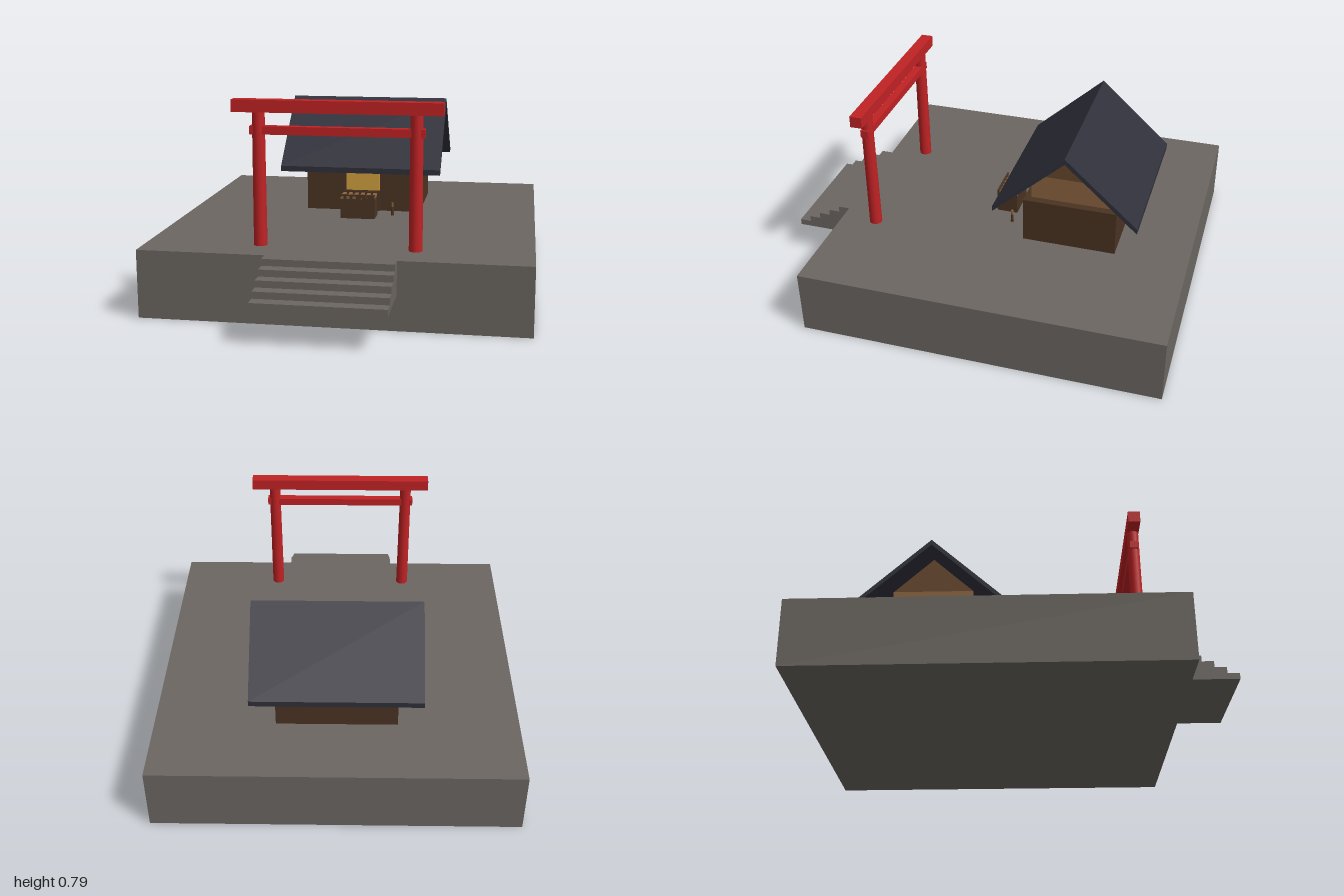
import * as THREE from 'three';

const paint = (name, color) => {
  const m = new THREE.MeshStandardMaterial({ color });
  m.name = name;
  return m;
};

export function createModel() {
  const stone = paint('stone', 0x6b6661);
  const red = paint('red lacquer', 0xc02224);
  const roofTile = paint('dark roof tile', 0x2f303a);
  const darkWood = paint('dark wood', 0x4a3322);
  const midWood = paint('medium wood', 0x65472a);
  const lightWood = paint('light wood', 0x8b6540);
  const gold = paint('warm window', 0xd0a040);

  const model = new THREE.Group();
  model.name = 'shrine';
  // The whole plot is turned on its vertical axis
  const plot = new THREE.Group();
  plot.name = 'plot';
  plot.rotation.y = -0.696;
  model.add(plot);

  const add = (parent, name, geometry, material, x = 0, y = 0, z = 0) => {
    const mesh = new THREE.Mesh(geometry, material);
    mesh.name = name;
    mesh.position.set(x, y, z);
    parent.add(mesh);
    return mesh;
  };
  // Box given by its bottom height
  const box = (parent, name, mat, w, h, d, x, y, z) =>
    add(parent, name, new THREE.BoxGeometry(w, h, d), mat, x, y + h / 2, z);
  // Profile (depth, height) extruded along x and centred
  const prism = (parent, name, mat, points, width) => {
    const shape = new THREE.Shape(points.map(([z, y]) => new THREE.Vector2(z, y)));
    const g = new THREE.ExtrudeGeometry(shape, { depth: width, bevelEnabled: false });
    g.translate(0, 0, -width / 2);
    g.rotateY(Math.PI / 2);
    return add(parent, name, g, mat);
  };

  const ground = 0.255;
  box(plot, 'platform', stone, 1.42, ground, 1.42, 0, 0, 0);

  // Front steps, level with the platform at the top
  const steps = new THREE.Group();
  steps.name = 'steps';
  plot.add(steps);
  for (let i = 0; i < 5; i++) {
    const depth = 0.0467 * (5 - i);
    box(steps, 'step', stone, 0.47, 0.025, depth, 0, 0.13 + 0.025 * i, 0.71 + depth / 2);
  }

  // Gate
  const gate = new THREE.Group();
  gate.name = 'gate';
  gate.position.z = 0.566;
  plot.add(gate);
  for (const side of [-1, 1]) {
    add(gate, 'gatePost', new THREE.CylinderGeometry(0.023, 0.025, 0.49, 16), red, side * 0.285, 0.5, 0);
  }
  box(gate, 'topBeam', red, 0.76, 0.045, 0.047, 0, 0.745, 0);
  box(gate, 'lowerBeam', red, 0.632, 0.03, 0.032, 0, 0.665, 0);

  // Hall: walls, smaller upper storey, gable and roof
  const hall = new THREE.Group();
  hall.name = 'hall';
  hall.position.z = -0.235;
  plot.add(hall);
  box(hall, 'walls', darkWood, 0.474, 0.185, 0.373, 0, ground, 0);
  box(hall, 'upperWalls', lightWood, 0.412, 0.102, 0.32, 0, 0.44, 0);
  prism(hall, 'gable', midWood, [[-0.16, 0.542], [0.16, 0.542], [0, 0.688]], 0.412);
  prism(hall, 'roof', roofTile,
    [[-0.284, 0.43], [0, 0.688], [0.284, 0.43], [0.284, 0.452], [0, 0.71], [-0.284, 0.452]], 0.656);
  box(hall, 'window', gold, 0.14, 0.098, 0.009, 0, 0.342, 0.191);
  box(hall, 'door', darkWood, 0.14, 0.087, 0.009, 0, ground, 0.191);

  // Offering box with a slatted top
  const chest = new THREE.Group();
  chest.name = 'offeringBox';
  chest.position.set(0, ground, 0.068);
  plot.add(chest);
  box(chest, 'chestBody', darkWood, 0.14, 0.08, 0.085, 0, 0, 0);
  for (const side of [-1, 1]) {
    box(chest, 'chestRim', darkWood, 0.14, 0.018, 0.008, 0, 0.08, side * 0.0385);
  }
  for (let i = 0; i < 6; i++) {
    box(chest, 'slat', lightWood, 0.013, 0.012, 0.085, -0.0625 + i * 0.025, 0.08, 0);
  }

  // Small marker beside the entrance
  const marker = new THREE.Group();
  marker.name = 'marker';
  marker.position.set(0.133, ground, 0.028);
  plot.add(marker);
  add(marker, 'markerPost', new THREE.CylinderGeometry(0.004, 0.007, 0.035, 8), darkWood, 0, 0.0175, 0);
  add(marker, 'markerTop', new THREE.CylinderGeometry(0.005, 0.005, 0.018, 8), lightWood, 0, 0.044, 0);

  return model;
}
